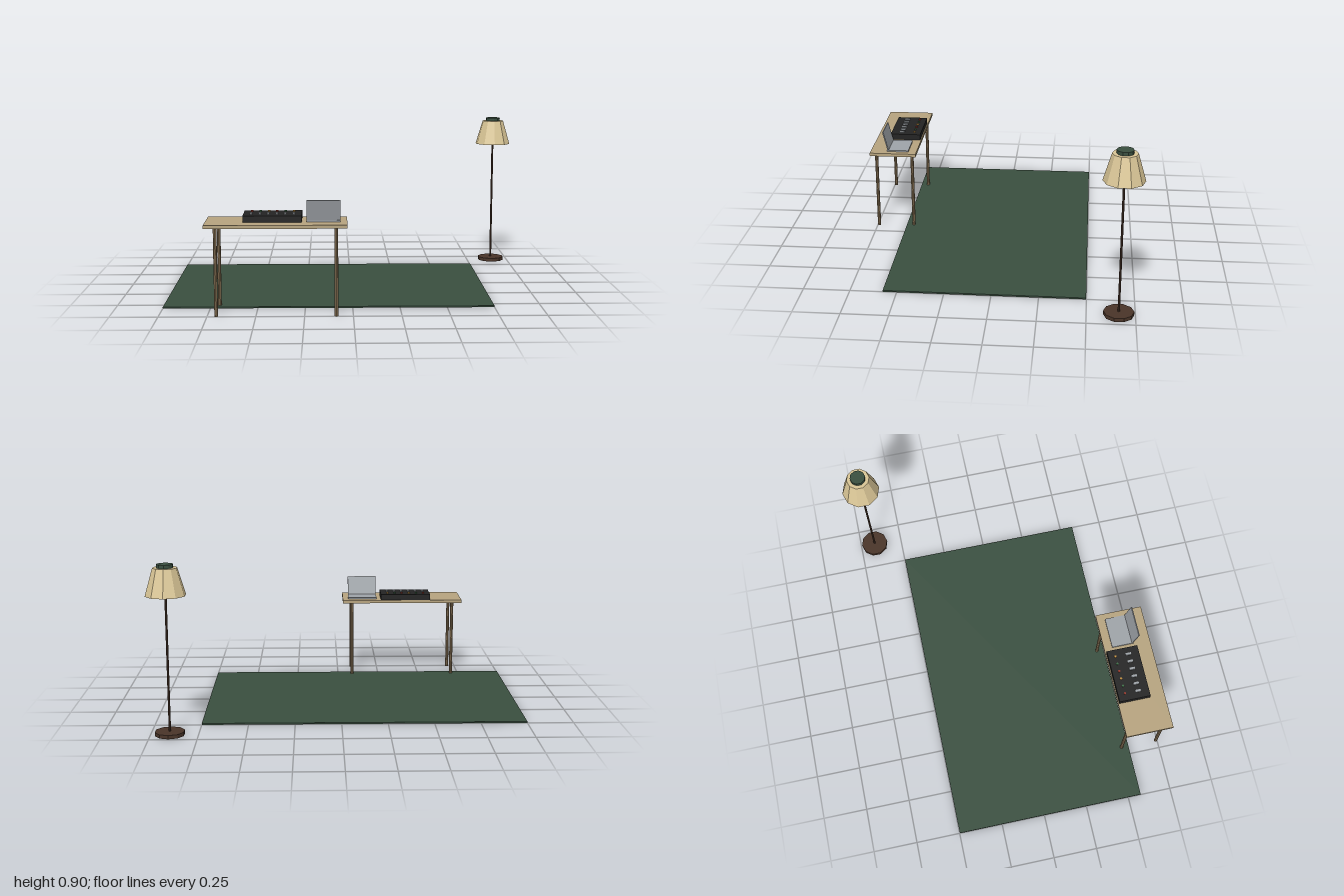
import * as THREE from 'three';

const mat = (name, color, extra = {}) => {
  const m = new THREE.MeshStandardMaterial({ color, flatShading: true, ...extra });
  m.name = name;
  return m;
};

export function createModel() {
  const green = mat('rug green', 0x3a5040);
  const tan = mat('table wood', 0xb8a580);
  const legWood = mat('leg wood', 0x8f7859);
  const cream = mat('shade cream', 0xdcc898);
  const brown = mat('dark wood', 0x4a3529);
  const black = mat('mixer black', 0x242424);
  const grey = mat('laptop grey', 0xa0a5aa);
  const red = mat('knob red', 0x9c3a2c);
  const lime = mat('knob green', 0x3f7048);
  const amber = mat('knob amber', 0xd09a45);

  const model = new THREE.Group();
  const add = (parent, name, geometry, material, x, y, z) => {
    const mesh = new THREE.Mesh(geometry, material);
    mesh.name = name;
    mesh.position.set(x, y, z);
    parent.add(mesh);
    return mesh;
  };
  const group = (name, x, y, z) => {
    const g = new THREE.Group();
    g.name = name;
    g.position.set(x, y, z);
    model.add(g);
    return g;
  };
  const box = (w, h, d) => new THREE.BoxGeometry(w, h, d);
  const cyl = (top, bottom, h, sides) => new THREE.CylinderGeometry(top, bottom, h, sides);

  // Rug
  add(model, 'rug', box(1.75, 0.008, 1.073), green, -0.125, 0.004, 0.038);

  // Table
  const table = group('table', -0.395, 0, 0.637);
  add(table, 'tableTop', box(0.73, 0.018, 0.266), tan, 0, 0.469, 0);
  for (const x of [-0.308, 0.308])
    for (const z of [-0.104, 0.104])
      add(table, 'tableLeg', cyl(0.0095, 0.0095, 0.46, 8), legWood, x, 0.23, z);

  // Mixer with a row of knobs and a row of faders
  const mixer = group('mixer', -0.415, 0.478, 0.598);
  add(mixer, 'mixerBody', box(0.302, 0.034, 0.176), black, 0, 0.017, 0);
  const knobColours = [red, lime, amber];
  for (let i = 0; i < 6; i++) {
    const x = (i - 2.5) * 0.044;
    add(mixer, 'knob', cyl(0.0065, 0.0065, 0.007, 8), knobColours[i % 3], x, 0.0375, -0.049);
    add(mixer, 'fader', box(0.013, 0.007, 0.031), grey, x, 0.0375, 0.026);
  }

  // Laptop, opened towards the back
  const laptop = group('laptop', -0.151, 0.478, 0.613);
  add(laptop, 'laptopBase', box(0.174, 0.008, 0.125), grey, 0, 0.004, 0);
  const screen = add(laptop, 'laptopScreen', box(0.174, 0.113, 0.006), grey, 0, 0.062, 0.069);
  screen.rotation.x = 0.25;

  // Floor lamp
  const lamp = group('floorLamp', 0.899, 0, -0.665);
  add(lamp, 'lampBase', cyl(0.079, 0.079, 0.02, 10), brown, 0, 0.01, 0);
  add(lamp, 'lampPole', cyl(0.006, 0.006, 0.74, 8), brown, 0, 0.38, 0);
  add(lamp, 'lampShade', cyl(0.064, 0.106, 0.143, 10), cream, 0, 0.81, 0);
  add(lamp, 'lampCap', cyl(0.043, 0.043, 0.02, 10), green, 0, 0.89, 0);

  return model;
}
